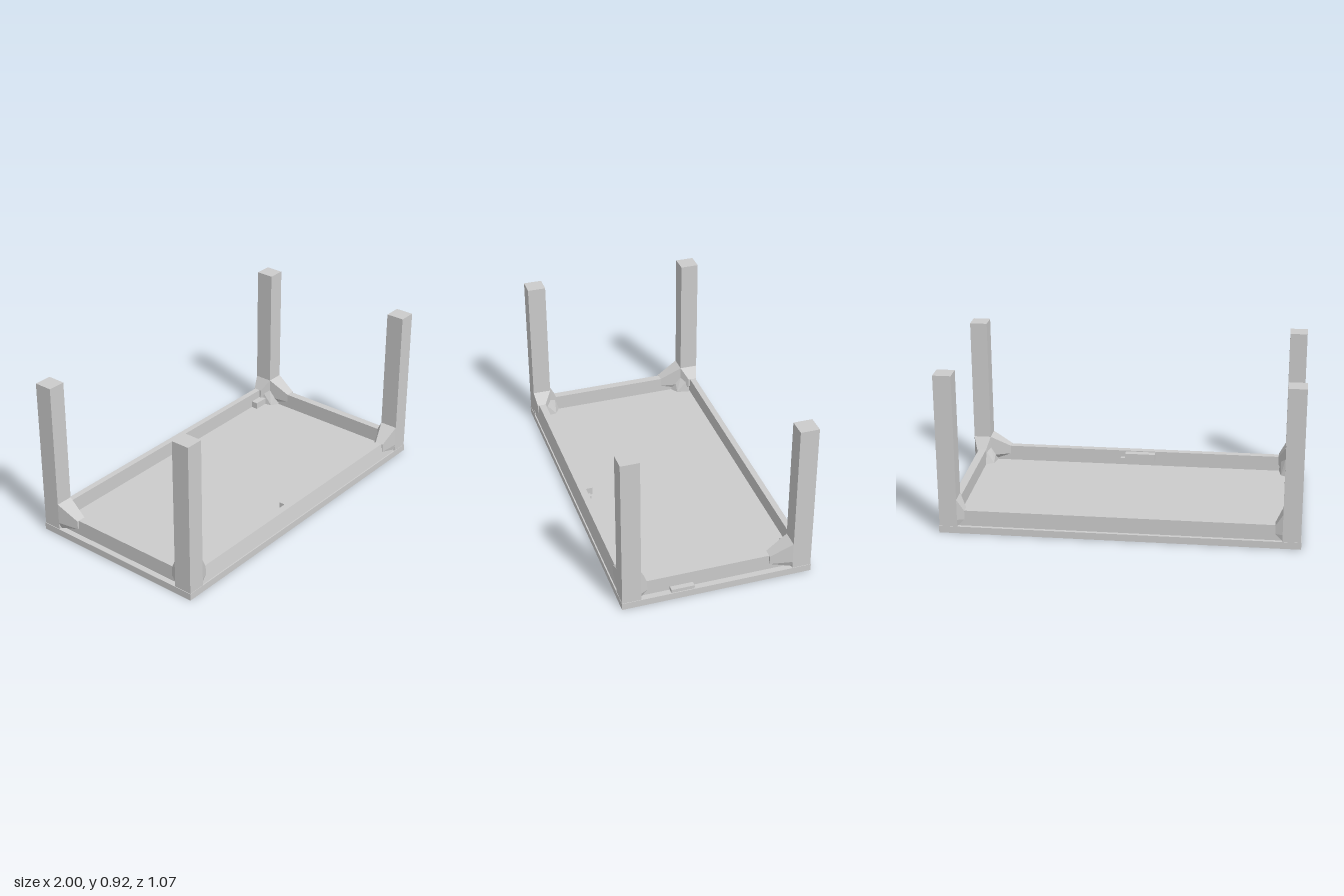
import * as THREE from 'three';
import { ConvexGeometry } from 'three/addons/geometries/ConvexGeometry.js';

const material = new THREE.MeshStandardMaterial({ color: 0xcccccc, flatShading: true });
const SLAB = 0.04, RAIL = 0.13, FLARE = 0.2, TOP = 0.92;

export function createModel() {
  const table = new THREE.Group();
  table.name = 'upturnedTable';

  const add = (name, geometry) => {
    const mesh = new THREE.Mesh(geometry, material);
    mesh.name = name;
    table.add(mesh);
  };
  // Box given by its limits on each axis
  const box = (name, [x0, x1], [y0, y1], [z0, z1]) => {
    const g = new THREE.BoxGeometry(x1 - x0, y1 - y0, z1 - z0);
    g.translate((x0 + x1) / 2, (y0 + y1) / 2, (z0 + z1) / 2);
    add(name, g);
  };
  // Convex solid around a few corners
  const hull = (name, points) =>
    add(name, new ConvexGeometry(points.map((p) => new THREE.Vector3(...p))));

  // Table top lying on the ground
  box('tableTop', [-1, 1], [0, SLAB], [-0.535, 0.535]);

  // Apron rails; the front one leans inward
  const frontRail = [];
  for (const x of [-0.92, 0.92]) {
    frontRail.push([x, SLAB, 0.47], [x, SLAB, 0.528], [x, RAIL, 0.47], [x, RAIL, 0.51]);
  }
  hull('frontRail', frontRail);
  box('backRail', [-0.92, 0.92], [SLAB, RAIL], [-0.515, -0.48]);
  for (const s of [-1, 1]) {
    const xs = [s * 0.92, s * 0.965].sort((a, b) => a - b);
    box(s > 0 ? 'leftRail' : 'rightRail', xs, [SLAB, RAIL], [-0.48, 0.47]);
  }

  // Legs with flared feet; reachX and reachZ are the flare lengths along the rails
  const corners = [
    { name: 'frontLeft', sx: 1, sz: 1, reachX: 0.115, reachZ: 0.04 },
    { name: 'frontRight', sx: -1, sz: 1, reachX: 0.04, reachZ: 0.04 },
    { name: 'backLeft', sx: 1, sz: -1, reachX: 0.04, reachZ: 0.125 },
    { name: 'backRight', sx: -1, sz: -1, reachX: 0.04, reachZ: 0.125 },
  ];
  for (const { name, sx, sz, reachX, reachZ } of corners) {
    const at = (x, y, z) => [sx * x, y, sz * z];
    const xi = 0.897, xo = 0.997, zi = 0.428, zo = 0.533;

    const leg = [];
    for (const y of [SLAB, TOP]) {
      leg.push(at(xi, y, zi), at(xo, y, zi), at(xi, y, zo), at(xo, y, zo));
    }
    hull(name + 'Leg', leg);

    // Flare along the long rail
    const ex = xi - reachX;
    hull(name + 'LongFlare', [
      at(xi, FLARE, zi), at(xi, FLARE, zo), at(xi, 0.08, zi), at(xi, 0.08, zo),
      at(ex, RAIL, 0.47), at(ex, RAIL, 0.52), at(ex, 0.08, 0.47), at(ex, 0.08, 0.52),
      at(xi, SLAB, 0.46), at(xi, SLAB, 0.525),
    ]);

    // Flare along the short rail
    const ez = zi - reachZ;
    hull(name + 'ShortFlare', [
      at(xi, FLARE, zi), at(xo, FLARE, zi), at(xi, 0.08, zi), at(xo, 0.08, zi),
      at(0.92, RAIL, ez), at(0.975, RAIL, ez), at(0.92, 0.08, ez), at(0.975, 0.08, ez),
      at(0.915, SLAB, zi), at(0.98, SLAB, zi),
    ]);

    // Inner corner block behind each leg
    hull(name + 'CornerBlock', [
      at(xi, RAIL, zi), at(0.87, RAIL, 0.475), at(0.925, RAIL, 0.395),
      at(0.925, RAIL, 0.475), at(0.86, SLAB, 0.475), at(0.925, SLAB, 0.37),
      at(0.925, SLAB, 0.475), at(0.875, SLAB, 0.4),
    ]);
  }

  // Small blocks left on the rails
  box('frontRailBlock', [-0.11, 0.07], [0.08, 0.125], [0.43, 0.475]);
  box('frontRailChip', [0, 0.1], [0.075, 0.09], [0.445, 0.475]);
  box('backRailBlock', [0.78, 0.87], [SLAB, 0.08], [-0.48, -0.44]);
  box('leftLedgeBlock', [0.96, 0.995], [SLAB, 0.06], [0.13, 0.26]);

  return table;
}
